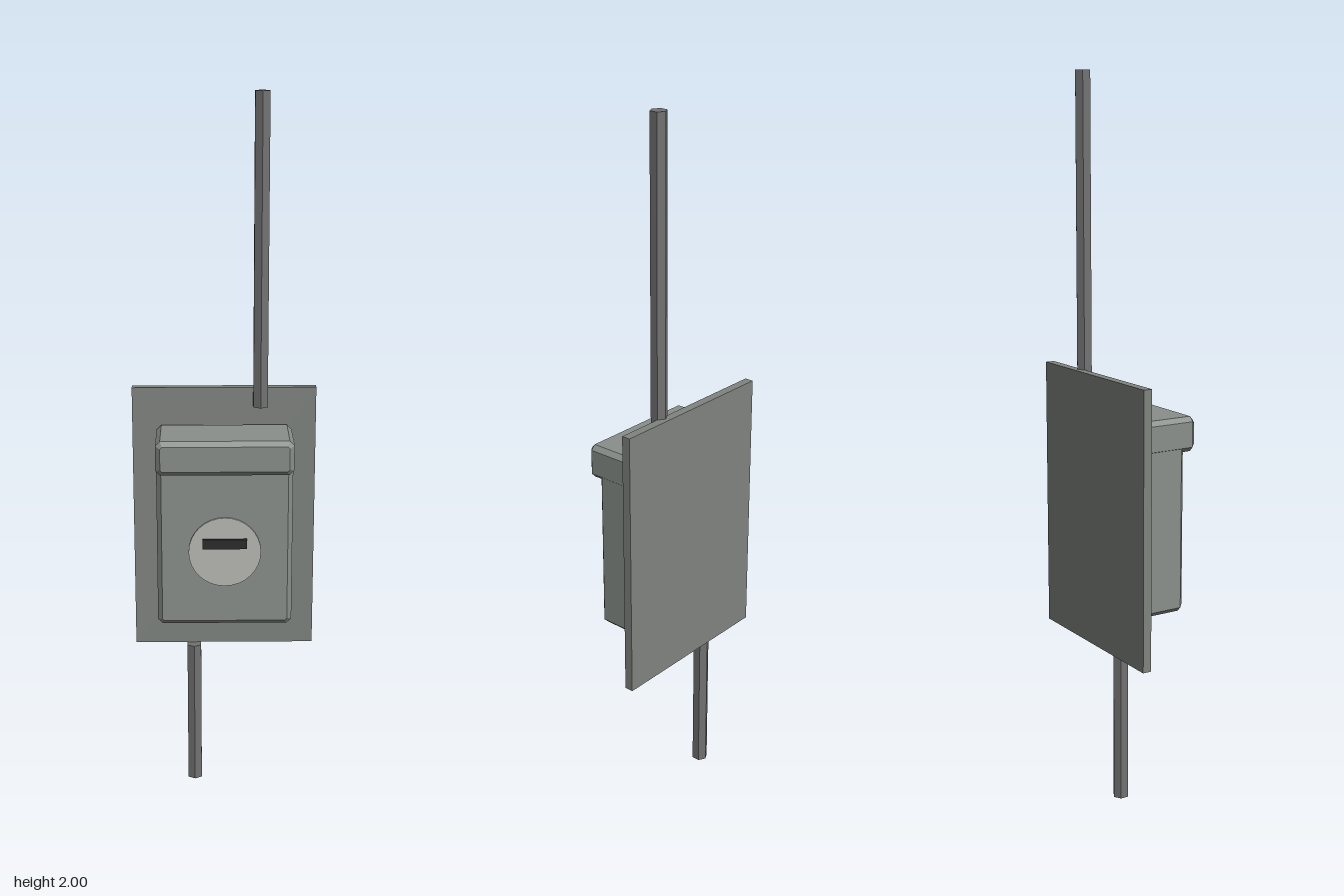
import * as THREE from 'three';

const paint = (color) => new THREE.MeshStandardMaterial({ color, flatShading: true });

export function createModel() {
  const group = new THREE.Group();
  const caseGrey = paint(0x8a8f8a), plateGrey = paint(0x80847f);
  const pipeGrey = paint(0x727272), dialGrey = paint(0xb8b8b4), slotDark = paint(0x2c2c2c);

  function add(name, geometry, material, x, y, z) {
    const mesh = new THREE.Mesh(geometry, material);
    mesh.name = name;
    mesh.position.set(x, y, z);
    group.add(mesh);
    return mesh;
  }

  // Box with every edge cut at an angle, spanning z = 0..d
  function chamferedBox(w, h, d, c) {
    const x = w / 2, y = h / 2;
    const outline = new THREE.Shape([
      [x - c, -y], [x, -y + c], [x, y - c], [x - c, y],
      [-x + c, y], [-x, y - c], [-x, -y + c], [-x + c, -y],
    ].map(([px, py]) => new THREE.Vector2(px, py)));
    return new THREE.ExtrudeGeometry(outline, {
      depth: d - 2 * c, bevelThickness: c, bevelSize: c, bevelOffset: -c, bevelSegments: 1,
    }).translate(0, 0, c);
  }

  // Mounting plate
  add('backPlate', new THREE.BoxGeometry(0.513, 0.768, 0.025), plateGrey, 0, 0.815, -0.0955);

  // Case and its overhanging hood
  add('caseBody', chamferedBox(0.374, 0.49, 0.153, 0.013), caseGrey, 0, 0.797, -0.083);
  add('hood', chamferedBox(0.376, 0.096, 0.188, 0.013), caseGrey, 0, 1.047, -0.083);

  // Dial with its slot
  const dial = add('dial', new THREE.CylinderGeometry(0.1, 0.1, 0.012, 32), dialGrey, 0, 0.771, 0.07);
  dial.rotation.x = Math.PI / 2;
  add('slot', new THREE.BoxGeometry(0.123, 0.027, 0.02), slotDark, 0, 0.797, 0.076);

  // Six-sided conduits above and below
  for (const [name, x, bottom, top] of [['upperConduit', 0.101, 1.147, 2], ['lowerConduit', -0.087, 0, 0.431]]) {
    add(name, new THREE.CylinderGeometry(0.023, 0.023, top - bottom, 6), pipeGrey, x, (bottom + top) / 2, -0.073);
  }

  return group;
}
